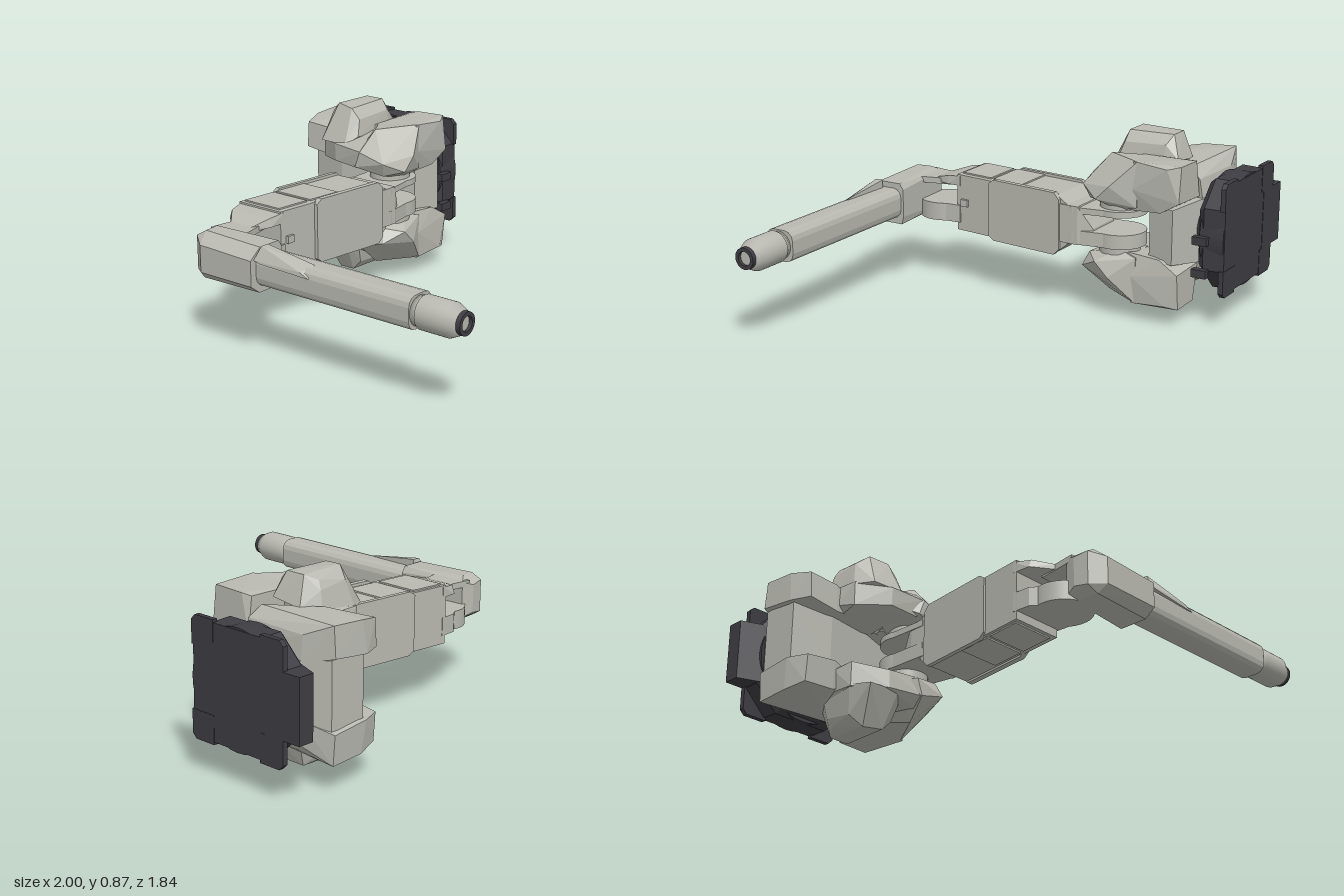
import * as THREE from 'three';
import { ConvexGeometry } from 'three/addons/geometries/ConvexGeometry.js';

const MID = 0.435; // height of the mirror plane

export function createModel() {
  const model = new THREE.Group();
  model.name = 'robotArm';
  const grey = new THREE.MeshStandardMaterial({ color: 0xb9b9b1 });
  grey.name = 'paintedGrey';
  const dark = new THREE.MeshStandardMaterial({ color: 0x3e3d43 });
  dark.name = 'darkBase';

  function add(name, geometry, material = grey) {
    const mesh = new THREE.Mesh(geometry, material);
    mesh.name = name;
    model.add(mesh);
  }
  const shape = (pts) => new THREE.Shape(pts.map(([a, b]) => new THREE.Vector2(a, b)));
  const extrude = (pts, depth) => new THREE.ExtrudeGeometry(shape(pts), { depth, bevelEnabled: false });
  // Plan outline in [x, z], raised from y0 to y1
  const plan = (pts, y0, y1) => extrude(pts.map(([x, z]) => [x, -z]), y1 - y0).rotateX(-Math.PI / 2).translate(0, y0, 0);
  // Section in [z, y], run from x0 to x1
  const alongX = (pts, x0, x1) => extrude(pts.map(([z, y]) => [-z, y]), x1 - x0).rotateY(Math.PI / 2).translate(x0, 0, 0);
  const hull = (pts) => new ConvexGeometry(pts.map((p) => new THREE.Vector3(...p)));
  const flip = (pts) => pts.map(([x, y, z]) => [x, 2 * MID - y, z]);
  const box = (x0, x1, y0, y1, z0, z1) =>
    new THREE.BoxGeometry(x1 - x0, y1 - y0, z1 - z0).translate((x0 + x1) / 2, (y0 + y1) / 2, (z0 + z1) / 2);
  const disc = (x, z, r, y0, y1) => new THREE.CylinderGeometry(r, r, y1 - y0, 40).translate(x, (y0 + y1) / 2, z);
  const discZ = (x, y, r0, r1, z0, z1) =>
    new THREE.CylinderGeometry(r1, r0, z1 - z0, 40).rotateX(Math.PI / 2).translate(x, y, (z0 + z1) / 2);
  function mirroredHull(name, pts) {
    add(name + 'Upper', hull(pts));
    add(name + 'Lower', hull(flip(pts)));
  }

  // Base: round-cornered plate with bolt lugs, tapered rim and connector box
  const cx = -0.635;
  const ring = (a, c, z) => [[a, c], [c, a], [-c, a], [-a, c], [-a, -c], [-c, -a], [c, -a], [a, -c]]
    .map(([x, y]) => [cx + x, MID + y, z]);
  add('basePlate', hull([...ring(0.265, 0.15, -0.918), ...ring(0.268, 0.15, -0.81), ...ring(0.24, 0.13, -0.775)]), dark);
  add('baseRim', discZ(cx, MID, 0.275, 0.27, -0.915, -0.79), dark);
  for (const sx of [-1, 1]) for (const sy of [-1, 1]) {
    const [x, y] = [cx + sx * 0.23, MID + sy * 0.235];
    add('baseFoot', hull([-0.92, -0.895].flatMap((z) => [
      [x + sx * 0.043, y - sy * 0.09, z], [x + sx * 0.043, y + sy * 0.02, z], [x + sx * 0.02, y + sy * 0.043, z],
      [x - sx * 0.09, y + sy * 0.043, z], [x - sx * 0.09, y - sy * 0.09, z],
    ])), dark);
  }
  add('connectorBox', plan([[-1, -0.92], [-1, -0.84], [-0.86, -0.785], [-0.8, -0.785], [-0.8, -0.92]], 0.29, 0.585), dark);
  add('swivelNeck', discZ(cx, MID, 0.2, 0.17, -0.8, -0.71), dark);
  for (const y of [0.27, 0.43]) add('baseLug', box(-0.37, -0.335, y - 0.02, y + 0.02, -0.84, -0.765), dark);

  // Turret core between the covers
  add('turretCore', hull([
    [-0.96, 0.28, -0.69], [-0.96, 0.59, -0.69], [-0.96, 0.28, -0.5], [-0.96, 0.59, -0.5],
    [-0.83, 0.3, -0.74], [-0.83, 0.57, -0.74], [-0.62, 0.3, -0.76], [-0.62, 0.57, -0.76],
    [-0.48, 0.28, -0.74], [-0.48, 0.59, -0.74], [-0.3, 0.3, -0.68], [-0.3, 0.57, -0.68],
    [-0.34, 0.3, -0.54], [-0.34, 0.57, -0.54], [-0.76, 0.28, -0.46], [-0.76, 0.59, -0.46],
  ]));
  // Faceted soft covers, repeated below the mirror plane
  mirroredHull('rearCover', [
    [-0.97, 0.74, -0.69], [-0.97, 0.73, -0.52], [-0.98, 0.6, -0.69], [-0.98, 0.58, -0.5],
    [-0.94, 0.71, -0.41], [-0.94, 0.58, -0.4], [-0.78, 0.7, -0.41], [-0.78, 0.56, -0.4],
    [-0.76, 0.74, -0.52], [-0.52, 0.73, -0.66], [-0.5, 0.68, -0.72], [-0.5, 0.57, -0.74],
    [-0.83, 0.68, -0.73], [-0.83, 0.56, -0.74], [-0.56, 0.6, -0.45],
  ]);
  // Motor cover in two lobes, so that its waist stays narrow
  mirroredHull('motorCoverRear', [
    [-0.5, 0.77, -0.7], [-0.46, 0.78, -0.72], [-0.3, 0.785, -0.72], [-0.27, 0.77, -0.66],
    [-0.28, 0.785, -0.48], [-0.5, 0.765, -0.42], [-0.27, 0.65, -0.48], [-0.3, 0.54, -0.45],
    [-0.29, 0.55, -0.62], [-0.28, 0.61, -0.72], [-0.5, 0.6, -0.72], [-0.5, 0.56, -0.4],
  ]);
  mirroredHull('motorCoverFront', [
    [-0.28, 0.785, -0.5], [-0.5, 0.765, -0.45], [-0.4, 0.78, -0.3], [-0.25, 0.71, -0.44],
    [-0.22, 0.66, -0.38], [-0.22, 0.59, -0.31], [-0.28, 0.64, -0.21], [-0.42, 0.68, -0.2],
    [-0.45, 0.6, -0.2], [-0.3, 0.57, -0.24], [-0.3, 0.53, -0.4], [-0.28, 0.56, -0.5],
    [-0.5, 0.56, -0.45], [-0.51, 0.62, -0.24],
  ]);
  mirroredHull('sideCover', [
    [-0.77, 0.6, -0.42], [-0.755, 0.7, -0.42], [-0.75, 0.7, -0.32], [-0.75, 0.58, -0.32],
    [-0.6, 0.69, -0.225], [-0.6, 0.6, -0.23], [-0.42, 0.68, -0.205], [-0.45, 0.59, -0.22],
    [-0.4, 0.73, -0.26], [-0.46, 0.76, -0.5], [-0.73, 0.73, -0.56], [-0.5, 0.57, -0.5], [-0.72, 0.56, -0.5],
  ]);
  mirroredHull('topBulge', [
    [-0.745, 0.69, -0.52], [-0.68, 0.73, -0.595], [-0.52, 0.75, -0.595], [-0.495, 0.72, -0.52],
    [-0.495, 0.73, -0.28], [-0.54, 0.69, -0.23], [-0.7, 0.69, -0.24], [-0.75, 0.69, -0.33],
    [-0.72, 0.8, -0.51], [-0.7, 0.84, -0.5], [-0.66, 0.865, -0.55], [-0.56, 0.865, -0.55], [-0.51, 0.82, -0.53],
    [-0.51, 0.81, -0.31], [-0.56, 0.86, -0.31], [-0.66, 0.87, -0.33], [-0.72, 0.82, -0.36],
  ]);

  // Shoulder fork and bearings
  const shoulder = [-0.365, -0.37];
  for (const [y0, y1] of [[0.35, 0.42], [0.505, 0.535]]) {
    add('shoulderDisc', disc(...shoulder, 0.13, y0, y1));
    add('shoulderFork', plan([[-0.485, -0.14], [-0.49, -0.36], [-0.24, -0.36], [-0.21, -0.19], [-0.215, -0.14]], y0, y1));
  }
  add('shoulderBearingLower', disc(...shoulder, 0.1, 0.27, 0.36));
  add('shoulderBearingUpper', disc(...shoulder, 0.1, 0.52, 0.6));
  add('shoulderWeb', hull([[-0.485, -0.1], [-0.48, -0.22], [-0.21, -0.22], [-0.215, -0.1]]
    .flatMap(([x, z]) => [[x, 0.35, z], [x, 0.54, z]])
    .concat([[-0.46, 0.36, -0.285], [-0.46, 0.43, -0.285], [-0.25, 0.36, -0.285], [-0.25, 0.43, -0.285]])));

  // Upper arm, leaning slightly towards -x
  const lean = -0.105;
  const edge = (x, z) => [x + lean * z, z]; // leaning plan coordinate
  const slab = (x0, x1, z0, z1) => [edge(x0, z0), edge(x1, z0), edge(x1, z1), edge(x0, z1)];
  add('upperArm', plan(slab(-0.495, -0.235, -0.1, 0.52), 0.29, 0.578));
  add('armRoot', hull(slab(-0.495, -0.235, -0.16, -0.1).flatMap(([x, z]) =>
    z < -0.13 ? [[x, 0.34, z], [x, 0.54, z]] : [[x, 0.29, z], [x, 0.578, z]])));
  for (const [x0, x1] of [[-0.507, -0.485], [-0.245, -0.217]]) {
    const plate = [];
    for (const x of [x0, x1]) for (const [z, a, b] of [[-0.12, 0.31, 0.56], [-0.09, 0.28, 0.592], [0.28, 0.28, 0.592], [0.31, 0.3, 0.57]])
      for (const y of [a, b]) plate.push([x + lean * z, y, z]);
    add('armSidePlate', hull(plate));
  }
  for (const [z0, z1] of [[0.13, 0.305], [0.325, 0.5]]) {
    add('armPanelUpper', plan(slab(-0.48, -0.265, z0, z1), 0.577, 0.585));
    add('armPanelLower', plan(slab(-0.48, -0.265, z0, z1), 0.283, 0.291));
  }
  add('armLug', box(-0.31, -0.27, 0.42, 0.455, 0.45, 0.49));

  // Elbow: tapered fork, round joint and bridge to the forearm housing
  const elbow = [-0.39, 0.65];
  add('elbowForkLower', plan([[-0.55, 0.5], [-0.545, 0.59], [-0.5, 0.65], [-0.27, 0.65], [-0.28, 0.5]], 0.33, 0.42));
  add('elbowDisc', disc(...elbow, 0.135, 0.33, 0.42));
  add('elbowForkUpper', hull([
    [-0.55, 0.52, 0.5], [-0.55, 0.572, 0.5], [-0.285, 0.52, 0.5], [-0.285, 0.572, 0.5],
    [-0.545, 0.52, 0.59], [-0.53, 0.56, 0.59], [-0.29, 0.52, 0.58], [-0.3, 0.56, 0.58],
    [-0.46, 0.51, 0.67], [-0.46, 0.535, 0.67], [-0.33, 0.51, 0.67], [-0.33, 0.535, 0.67],
  ]));
  add('elbowBridge', plan([[-0.45, 0.58], [-0.33, 0.58], [-0.28, 0.78], [-0.48, 0.78]], 0.505, 0.535));

  // Forearm housing
  add('elbowHousing', hull([
    [-0.49, 0.37, 0.8], [-0.49, 0.51, 0.8], [-0.48, 0.36, 0.87], [-0.48, 0.52, 0.87],
    [-0.47, 0.35, 0.74], [-0.47, 0.53, 0.74], [-0.41, 0.37, 0.922], [-0.41, 0.5, 0.922],
    [-0.44, 0.33, 0.76], [-0.44, 0.55, 0.78], [-0.43, 0.33, 0.88], [-0.43, 0.55, 0.86],
    [-0.1, 0.33, 0.73], [-0.1, 0.54, 0.74], [-0.1, 0.37, 0.72], [-0.1, 0.51, 0.72],
    [-0.1, 0.33, 0.87], [-0.1, 0.54, 0.86], [-0.1, 0.37, 0.922], [-0.1, 0.49, 0.922],
  ]));
  // Forearm tube with rounded section and cable fairing
  const section = [];
  for (const [sz, sy, start] of [[1, 1, 0], [-1, 1, 1], [-1, -1, 2], [1, -1, 3]])
    for (let i = 0; i <= 3; i++) {
      const a = (start + i / 3) * Math.PI / 2;
      section.push([0.811 + sz * 0.032 + 0.045 * Math.cos(a), 0.436 + sy * 0.031 + 0.045 * Math.sin(a)]);
    }
  add('forearm', alongX(section, -0.11, 0.755));
  add('forearmFairing', hull([
    [-0.08, 0.552, 0.83], [-0.08, 0.552, 0.87], [-0.1, 0.49, 0.903], [-0.06, 0.48, 0.903], [-0.08, 0.48, 0.83],
    [0.19, 0.502, 0.845], [0.2, 0.518, 0.838], [0.21, 0.468, 0.892], [0.16, 0.49, 0.892],
  ]));

  // Wrist turned about the forearm axis, with a dark tool flange and pale hub
  const turn = (pts) => new THREE.LatheGeometry(pts.map(([r, x]) => new THREE.Vector2(r, x)), 40)
    .rotateZ(-Math.PI / 2).translate(0, 0.437, 0.815);
  add('wrist', turn([[0, 0.745], [0.068, 0.745], [0.068, 0.78], [0.077, 0.785], [0.077, 0.93], [0.055, 0.978], [0, 0.978]]));
  add('toolFlange', turn([[0.052, 0.97], [0.052, 1], [0.052, 1], [0.034, 1], [0.034, 1], [0.034, 0.978]]), dark);
  add('flangeHub', turn([[0.034, 0.984], [0.026, 0.984], [0, 0.984]]));
  return model;
}
